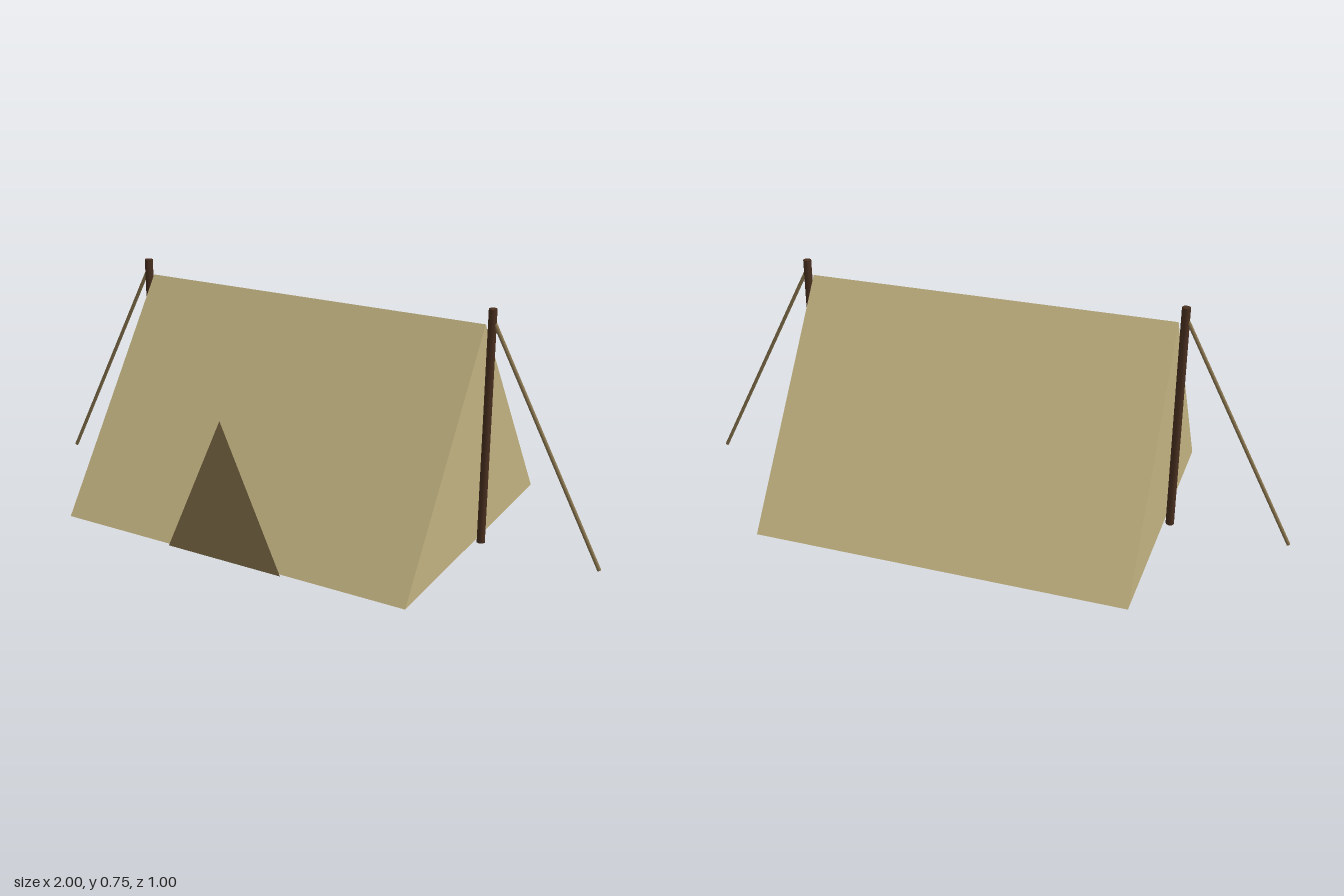
import * as THREE from 'three';

const TENT_Z = -0.005;
const material = (color, side = THREE.FrontSide) => {
  const m = new THREE.MeshStandardMaterial({ side });
  m.color.set(color);
  return m;
};

function triangle(halfWidth, height) {
  return new THREE.Shape([
    new THREE.Vector2(-halfWidth, 0),
    new THREE.Vector2(halfWidth, 0),
    new THREE.Vector2(0, height),
  ]);
}

// Straight round bar between two points
function bar(name, from, to, radius, sides, mat) {
  const direction = to.clone().sub(from);
  const mesh = new THREE.Mesh(
    new THREE.CylinderGeometry(radius, radius, direction.length(), sides), mat);
  mesh.name = name;
  mesh.position.copy(from).add(to).multiplyScalar(0.5);
  mesh.quaternion.setFromUnitVectors(new THREE.Vector3(0, 1, 0), direction.normalize());
  return mesh;
}

export function createModel() {
  const group = new THREE.Group();
  group.name = 'tent';
  const wood = material(0x4a3020);
  const cord = material(0x8b7750);

  // Closed canvas prism with its ridge along x
  const canvasGeometry = new THREE.ExtrudeGeometry(triangle(0.495, 0.697), {
    depth: 1.2, bevelEnabled: false,
  });
  canvasGeometry.translate(0, 0, -0.6).rotateY(Math.PI / 2);
  const canvas = new THREE.Mesh(canvasGeometry, material(0xc2b280));
  canvas.name = 'canvas';
  canvas.position.set(0, 0.003, TENT_Z);
  group.add(canvas);

  // Upright door flap just in front of the canvas hem
  const door = new THREE.Mesh(
    new THREE.ShapeGeometry(triangle(0.2, 0.447)), material(0x8b7850, THREE.DoubleSide));
  door.name = 'doorFlap';
  door.position.set(0, 0.003, 0.5);
  group.add(door);

  // A pole and a guy rope at each end
  for (const [side, s] of [['left', 1], ['right', -1]]) {
    const at = (x, y) => new THREE.Vector3(s * x, y, TENT_Z);
    group.add(
      bar(side + 'Pole', at(0.62, 0.003), at(0.62, 0.75), 0.0135, 8, wood),
      bar(side + 'GuyRope', at(0.625, 0.713), at(0.995, 0.003), 0.006, 6, cord));
  }
  return group;
}
